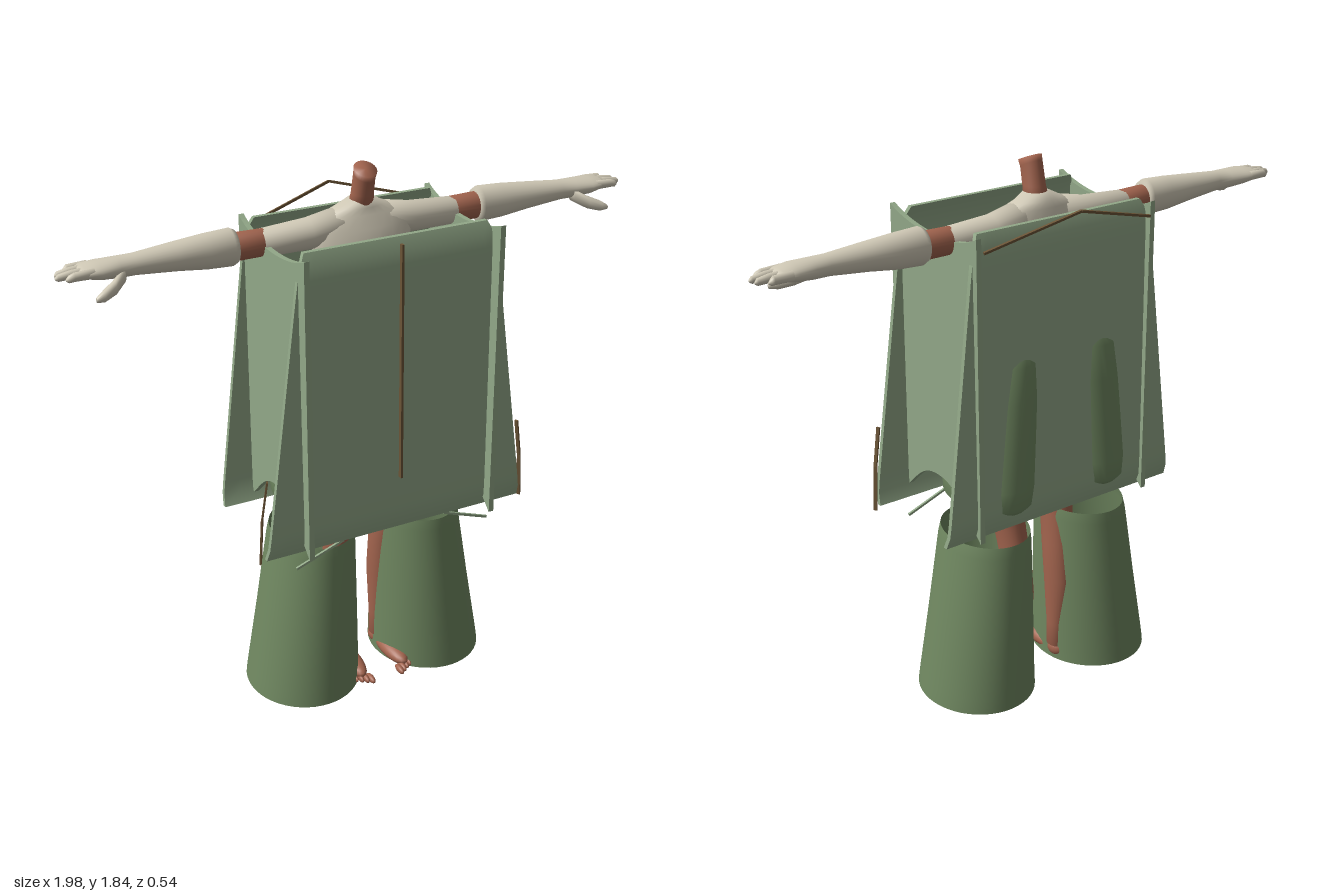
import * as THREE from 'three';

const material = (name, color, side = THREE.FrontSide) => {
  const m = new THREE.MeshStandardMaterial({ color, side });
  m.name = name;
  return m;
};

// Elliptical loft. Rings are [s, u, v, ru, rv]: axis 'y' -> (u,s,v), axis 'x' -> (s,v,u).
function loft(rings, axis = 'y', capped = true, n = 28) {
  const pos = [], idx = [];
  const put = (u, s, v) => (axis === 'y' ? pos.push(u, s, v) : pos.push(s, v, u));
  rings.forEach(([s, u, v, ru, rv]) => {
    for (let j = 0; j < n; j++) {
      const t = (j / n) * Math.PI * 2;
      put(u + Math.cos(t) * ru, s, v + Math.sin(t) * rv);
    }
  });
  for (let i = 0; i < rings.length - 1; i++) {
    for (let j = 0; j < n; j++) {
      const a = i * n + j, b = i * n + ((j + 1) % n);
      idx.push(a, a + n, b, b, a + n, b + n);
    }
  }
  if (capped) {
    const last = rings.length - 1, c = rings.length * n;
    put(rings[0][1], rings[0][0], rings[0][2]);
    put(rings[last][1], rings[last][0], rings[last][2]);
    for (let j = 0; j < n; j++) {
      const k = (j + 1) % n;
      idx.push(c, j, k, c + 1, last * n + k, last * n + j);
    }
  }
  const g = new THREE.BufferGeometry();
  g.setAttribute('position', new THREE.Float32BufferAttribute(pos, 3));
  g.setIndex(idx);
  g.computeVertexNormals();
  return g;
}

// Reflects an indexed geometry across x and restores its winding
function mirrored(geo) {
  const g = geo.clone().scale(-1, 1, 1);
  const ix = g.index.array;
  for (let i = 0; i < ix.length; i += 3) [ix[i + 1], ix[i + 2]] = [ix[i + 2], ix[i + 1]];
  return g;
}

const ellipsoid = (x, y, z, rx, ry, rz) =>
  new THREE.SphereGeometry(1, 20, 14).scale(rx, ry, rz).translate(x, y, z);

// Thin straight strip between two points
function strip(a, b, w, d) {
  const p = new THREE.Vector3(...a), q = new THREE.Vector3(...b);
  const dir = q.clone().sub(p);
  const turn = new THREE.Quaternion().setFromUnitVectors(new THREE.Vector3(0, 1, 0), dir.clone().normalize());
  const mid = p.add(q).multiplyScalar(0.5);
  return new THREE.BoxGeometry(w, dir.length(), d).applyQuaternion(turn).translate(mid.x, mid.y, mid.z);
}

export function createModel() {
  const model = new THREE.Group();
  const cloth = material('pale green cloth', 0x92a888);
  const legGreen = material('moss green', 0x6f8760, THREE.DoubleSide);
  const cream = material('cream', 0xcfc8b5);
  const skin = material('skin', 0xa2644e);
  const cord = material('brown cord', 0x6b5436);

  const add = (name, geo, mat) => {
    const mesh = new THREE.Mesh(geo, mat);
    mesh.name = name;
    model.add(mesh);
  };
  const addPair = (name, geo, mat) => {
    add('left ' + name, geo, mat);
    add('right ' + name, mirrored(geo), mat);
  };

  // Front and back panels: flared sheets with edges rolled inwards
  const panel = (zTop, zBottom, topW, bottomW, inward) => {
    const g = new THREE.BoxGeometry(1, 1, 0.016, 16, 24, 1);
    const p = g.attributes.position;
    for (let i = 0; i < p.count; i++) {
      const f = p.getY(i) + 0.5, x = p.getX(i) * 2;
      const roll = Math.pow(Math.abs(2 * f - 1), 24) * 0.018;
      const w = THREE.MathUtils.lerp(bottomW, topW, f) - Math.pow(f, 30) * 0.02;
      p.setXYZ(i, x * w, 0.662 + f * 1.01,
        p.getZ(i) + THREE.MathUtils.lerp(zBottom, zTop, f) + inward * roll);
    }
    g.computeVertexNormals();
    return g;
  };
  add('front panel', panel(0.215, 0.225, 0.335, 0.47, -1), cloth);
  add('back panel', panel(-0.178, -0.188, 0.335, 0.455, 1), cloth);

  // Side panels with a dipped top and an arched hem
  const side = new THREE.Shape();
  side.moveTo(0.268, 0.655);
  side.bezierCurveTo(0.16, 0.75, 0.13, 0.81, 0.03, 0.81);
  side.bezierCurveTo(-0.07, 0.81, -0.1, 0.75, -0.208, 0.655);
  side.lineTo(-0.208, 1.67);
  side.bezierCurveTo(-0.1, 1.61, 0.14, 1.61, 0.268, 1.67);
  side.closePath();
  for (const s of [1, -1]) {
    const g = new THREE.ExtrudeGeometry(side, { depth: 0.018, bevelEnabled: false, curveSegments: 16 });
    g.rotateY(-Math.PI / 2).translate(s * 0.335 + 0.009, 0, 0);
    add(s > 0 ? 'left side panel' : 'right side panel', g, cloth);
  }

  // Thigh guards, showing through the back panel
  addPair('thigh guard', loft([
    [0.71, 0.19, -0.03, 0.115, 0.165], [0.73, 0.19, -0.03, 0.132, 0.183],
    [0.8, 0.187, -0.03, 0.138, 0.188], [1.1, 0.165, -0.03, 0.13, 0.18],
    [1.22, 0.158, -0.03, 0.125, 0.172], [1.26, 0.155, -0.03, 0.115, 0.15]], 'y', false, 40), legGreen);

  // Wide open leggings
  addPair('legging', loft([
    [0, 0.245, -0.025, 0.197, 0.216], [0.05, 0.242, -0.025, 0.192, 0.213],
    [0.3, 0.222, -0.025, 0.168, 0.198], [0.56, 0.203, -0.025, 0.145, 0.18],
    [0.6, 0.2, -0.025, 0.138, 0.174]], 'y', false, 48), legGreen);
  addPair('legging tie', strip([0.36, 0.593, 0.2], [0.19, 0.655, 0.2], 0.008, 0.008), cloth);

  // Legs and feet
  addPair('leg', loft([
    [0.05, 0.08, -0.06, 0.034, 0.04], [0.14, 0.08, -0.06, 0.034, 0.04],
    [0.32, 0.09, -0.06, 0.05, 0.062], [0.46, 0.09, -0.045, 0.05, 0.062],
    [0.57, 0.1, -0.025, 0.05, 0.066], [0.68, 0.105, -0.01, 0.062, 0.078],
    [0.85, 0.11, -0.02, 0.09, 0.1], [0.98, 0.12, -0.035, 0.112, 0.128],
    [1.06, 0.11, -0.035, 0.105, 0.12], [1.13, 0.09, -0.035, 0.075, 0.08]]), skin);
  addPair('foot', ellipsoid(0.083, 0.03, 0.03, 0.038, 0.03, 0.11), skin);
  addPair('heel', ellipsoid(0.08, 0.035, -0.065, 0.034, 0.035, 0.042), skin);
  for (let i = 0; i < 5; i++) {
    addPair('toe ' + (i + 1),
      ellipsoid(0.058 + i * 0.016, 0.014, 0.145 - i * 0.011, 0.011 - i * 0.001, 0.013, 0.028), skin);
  }

  // Torso and neck
  add('waist', loft([
    [1.0, 0, -0.03, 0.12, 0.1], [1.1, 0, -0.03, 0.14, 0.09],
    [1.25, 0, -0.03, 0.115, 0.08], [1.33, 0, -0.03, 0.12, 0.08]]), skin);
  add('bodice', loft([
    [1.3, 0, -0.03, 0.125, 0.085], [1.45, 0, -0.03, 0.15, 0.1],
    [1.58, 0, -0.035, 0.17, 0.09], [1.64, 0, -0.04, 0.18, 0.072],
    [1.68, 0, -0.045, 0.14, 0.058], [1.7, 0, -0.045, 0.085, 0.05],
    [1.722, 0, -0.04, 0.042, 0.04]]), cream);
  const neck = loft([
    [1.68, 0, -0.045, 0.042, 0.042], [1.74, 0, -0.028, 0.036, 0.038],
    [1.8, 0, -0.014, 0.034, 0.036], [1.822, 0, -0.007, 0.037, 0.036]]);
  const np = neck.attributes.position;
  for (let i = 0; i < np.count; i++) {
    if (np.getY(i) > 1.78) np.setY(i, np.getY(i) - (np.getZ(i) + 0.007) * 0.45);
  }
  neck.computeVertexNormals();
  add('neck', neck, skin);

  // Outstretched arms: sleeve, bare band, long glove
  addPair('sleeve', loft([
    [0.08, -0.045, 1.645, 0.06, 0.055], [0.18, -0.05, 1.63, 0.052, 0.05],
    [0.34, -0.05, 1.625, 0.045, 0.045]], 'x'), cream);
  addPair('upper arm', loft([
    [0.3, -0.05, 1.627, 0.041, 0.043], [0.45, -0.05, 1.628, 0.041, 0.045]], 'x'), skin);
  addPair('glove', loft([
    [0.425, -0.05, 1.63, 0.046, 0.052], [0.44, -0.05, 1.63, 0.05, 0.06],
    [0.52, -0.05, 1.63, 0.05, 0.056], [0.62, -0.048, 1.632, 0.046, 0.045],
    [0.75, -0.045, 1.632, 0.036, 0.033], [0.8, -0.045, 1.632, 0.042, 0.032],
    [0.86, -0.045, 1.634, 0.052, 0.028], [0.905, -0.05, 1.636, 0.05, 0.02],
    [0.92, -0.05, 1.636, 0.042, 0.012]], 'x'), cream);
  const lengths = [0.965, 0.99, 0.985, 0.955];
  lengths.forEach((end, i) => {
    const z = -0.012 - i * 0.025;
    addPair('finger ' + (i + 1), loft([
      [0.88, z, 1.637, 0.013, 0.016], [0.94, z, 1.636, 0.0125, 0.014],
      [end - 0.008, z, 1.632, 0.01, 0.011], [end, z, 1.63, 0.004, 0.004]], 'x', true, 12), cream);
  });
  addPair('thumb', loft([
    [0.79, -0.02, 1.615, 0.022, 0.022], [0.83, 0.012, 1.593, 0.02, 0.022],
    [0.87, 0.032, 1.58, 0.016, 0.018], [0.895, 0.038, 1.574, 0.007, 0.008]], 'x', true, 14), cream);

  // Brown cords: front seam, hem side loops, neck strap at the back
  add('front seam', strip([0, 0.86, 0.24], [0, 1.655, 0.232], 0.008, 0.014), cord);
  addPair('upper hem cord', strip([0.458, 0.945, 0.21], [0.478, 0.81, 0.206], 0.006, 0.012), cord);
  addPair('lower hem cord', strip([0.478, 0.81, 0.206], [0.487, 0.65, 0.203], 0.006, 0.012), cord);
  addPair('back strap', strip([0.32, 1.625, -0.212], [0, 1.71, -0.265], 0.008, 0.008), cord);

  return model;
}
